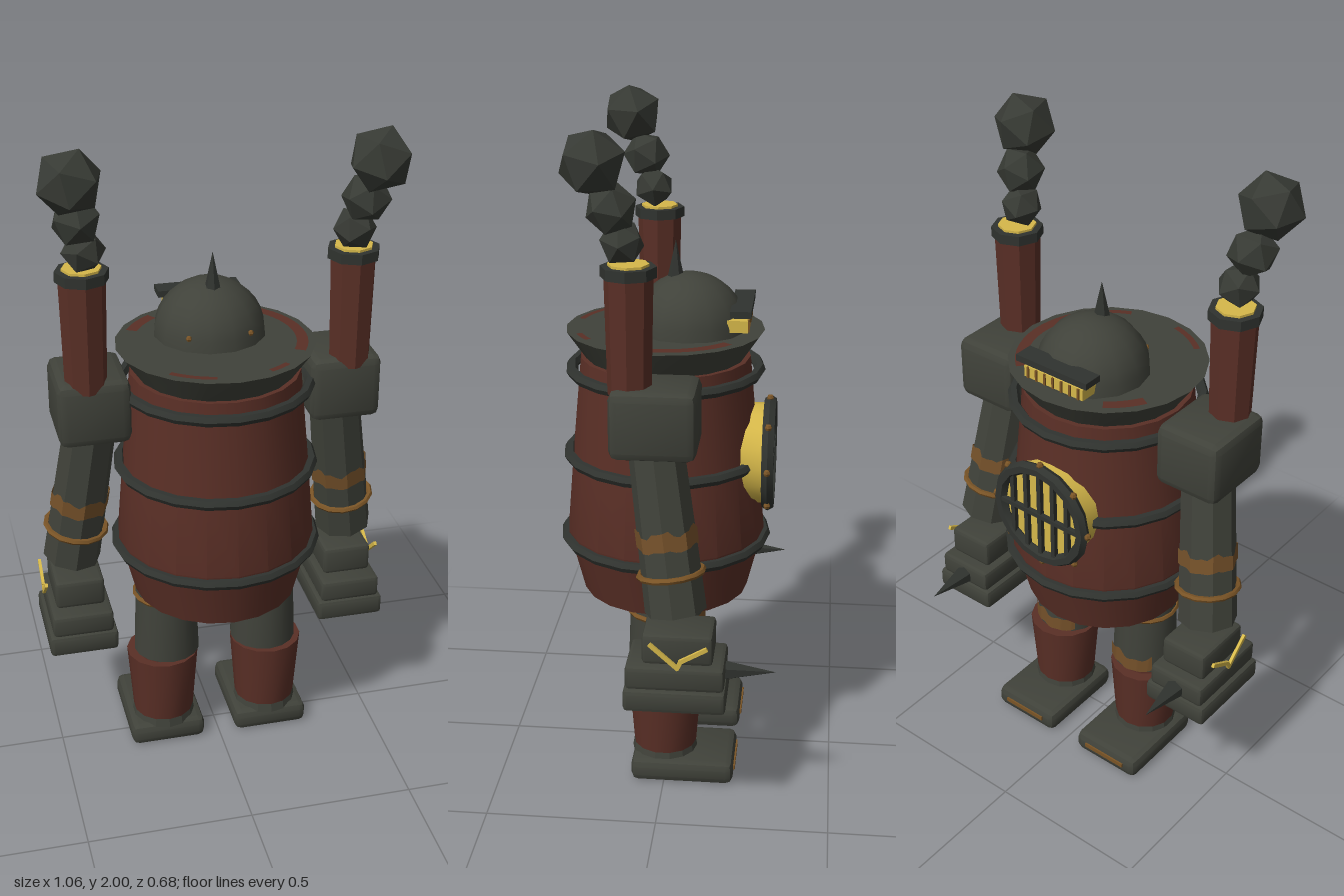
import * as THREE from 'three';
import { toCreasedNormals } from 'three/addons/utils/BufferGeometryUtils.js';
import { RoundedBoxGeometry } from 'three/addons/geometries/RoundedBoxGeometry.js';

const V = (x, y, z) => new THREE.Vector3(x, y, z);

function material(name, color, side = THREE.FrontSide) {
  const m = new THREE.MeshStandardMaterial({ color, side });
  m.name = name;
  return m;
}

export function createModel() {
  const iron = material('iron', 0x40423a);
  const darkIron = material('darkIron', 0x30332f);
  const red = material('rustRed', 0x5a2f26);
  const smoke = material('smoke', 0x373a34);
  const glow = material('glow', 0xd6b84a);
  const copper = material('copper', 0x7a5426);
  const patchCopper = material('patchCopper', 0x75512a, THREE.DoubleSide);

  const model = new THREE.Group();
  model.name = 'steamRobot';

  const add = (parent, name, geo, mat, x = 0, y = 0, z = 0, crease = 0.4) => {
    const mesh = new THREE.Mesh(toCreasedNormals(geo, crease), mat);
    mesh.name = name;
    mesh.position.set(x, y, z);
    parent.add(mesh);
    return mesh;
  };
  const cyl = (top, bottom, h, n = 20) => new THREE.CylinderGeometry(top, bottom, h, n);
  const box = (w, h, d) => new THREE.BoxGeometry(w, h, d);
  const bevelBox = (w, h, d, r) => new RoundedBoxGeometry(w, h, d, 1, r);
  const hoop = (r, tube, n = 20) => new THREE.TorusGeometry(r, tube, 6, n).rotateX(Math.PI / 2);

  // Ragged worn band hugging a prism with the given number of sides
  const wornBand = (r, h, sides, start, sweep) => {
    const g = new THREE.CylinderGeometry(1, 1, h, 32, 1, true, start, sweep);
    const p = g.attributes.position;
    const step = (Math.PI * 2) / sides;
    for (let i = 0; i < p.count; i++) {
      const a = Math.atan2(p.getX(i), p.getZ(i)) + Math.PI * 2;
      const rr = r * Math.cos(step / 2) / Math.cos((a % step) - step / 2);
      const jag = 0.18 * h * (Math.sin(a * 5) + 0.6 * Math.sin(a * 11 + 1));
      p.setXYZ(i, Math.sin(a) * rr, p.getY(i) + (p.getY(i) > 0 ? jag : jag * 0.4), Math.cos(a) * rr);
    }
    return g;
  };

  // Barrel torso with hoops
  const torso = new THREE.Group();
  torso.name = 'torso';
  torso.position.z = 0.02;
  model.add(torso);
  const profile = [[0, 0.55], [0.25, 0.55], [0.288, 0.7], [0.298, 0.74], [0.278, 0.98], [0.25, 1.28], [0, 1.28]];
  add(torso, 'barrel', new THREE.LatheGeometry(profile.map(p => new THREE.Vector2(...p)), 20), red);
  for (const [y, r] of [[0.72, 0.301], [0.98, 0.288], [1.24, 0.277]])
    add(torso, 'barrelHoop', hoop(r, 0.017), darkIron, 0, y, 0, 0.8);

  // Flared collar with worn patches on its top
  add(torso, 'collar', cyl(0.29, 0.235, 0.08), iron, 0, 1.32, 0);
  for (const [from, to, inner] of [[-30, 50, 0.235], [125, 152, 0.235], [228, 258, 0.25], [293, 308, 0.25]]) {
    const d = Math.PI / 180;
    const ring = new THREE.RingGeometry(inner, 0.268, 12, 1, from * d, (to - from) * d).rotateX(-Math.PI / 2);
    add(torso, 'collarWear', ring, red, 0, 1.363, 0);
  }

  // Domed head, spike, visor and glowing slit
  const head = new THREE.Group();
  head.name = 'head';
  head.position.set(0, 1.36, -0.05);
  model.add(head);
  add(head, 'dome', new THREE.SphereGeometry(0.165, 14, 8, 0, Math.PI * 2, 0, Math.PI / 2), iron, 0, 0, 0, 0.6);
  add(head, 'spike', new THREE.ConeGeometry(0.026, 0.12, 6), darkIron, 0, 0.2, 0.04);
  add(head, 'visor', box(0.25, 0.02, 0.06), darkIron, 0, 0.075, -0.155);
  add(head, 'eyeSlit', box(0.21, 0.035, 0.06), glow, 0, 0.035, -0.145);
  for (let i = -3; i <= 3; i++)
    add(head, 'slitBar', box(0.007, 0.035, 0.006), copper, i * 0.03, 0.035, -0.176);
  for (const s of [-1, 1])
    add(head, 'domeRivet', new THREE.SphereGeometry(0.009, 6, 4), copper, s * 0.09, 0.04, 0.13);

  // Furnace door: glowing disc behind a riveted grate
  const door = new THREE.Group();
  door.name = 'furnaceDoor';
  door.position.set(0, 0.98, -0.29);
  model.add(door);
  add(door, 'fire', cyl(0.15, 0.15, 0.08, 16).rotateX(Math.PI / 2), glow, 0, 0, 0.045);
  add(door, 'doorRim', new THREE.TorusGeometry(0.153, 0.02, 6, 16), darkIron);
  for (let i = -2; i <= 2; i++) {
    const x = i * 0.05;
    add(door, 'grateBar', box(0.014, 2 * Math.sqrt(0.0225 - x * x), 0.014), darkIron, x, 0, -0.004);
  }
  add(door, 'grateCrossbar', box(0.3, 0.014, 0.014), darkIron, 0, 0, -0.008);
  for (let i = 0; i < 8; i++) {
    const a = (i * Math.PI) / 4;
    add(door, 'doorRivet', new THREE.SphereGeometry(0.011, 6, 4), copper, Math.cos(a) * 0.172, Math.sin(a) * 0.172, 0);
  }

  for (const s of [-1, 1]) {
    const side = s > 0 ? 'left' : 'right';

    // Shoulder and chimney
    add(model, side + 'Shoulder', bevelBox(0.21, 0.195, 0.24, 0.025), iron, s * 0.37, 1.21, 0.01);
    const stack = new THREE.Group();
    stack.name = side + 'Chimney';
    stack.position.set(s * 0.387, 0, 0.078);
    model.add(stack);
    add(stack, 'pipe', cyl(0.067, 0.06, 0.34, 8), red, 0, 1.45, 0);
    add(stack, 'pipeRim', cyl(0.076, 0.076, 0.03, 8), darkIron, 0, 1.62, 0);
    add(stack, 'ember', cyl(0.056, 0.056, 0.008, 8), glow, 0, 1.638, 0);

    // Smoke puffs drifting up, out and back
    const puffs = [[0.382, 1.695, 0.095, 0.063], [0.403, 1.79, 0.12, 0.072], [0.423, 1.911, 0.165, 0.094]];
    puffs.forEach(([x, y, z, r], i) => {
      const puff = add(model, side + 'SmokePuff', new THREE.IcosahedronGeometry(r, 0), smoke, s * x, y, z);
      puff.rotation.set(0.4 + i * 0.8, s * (0.5 + i), 0.2 * i);
    });

    // Arm: tapered octagon with a copper ring and worn band
    const top = V(s * 0.37, 1.13, 0.01);
    const wrist = V(s * 0.433, 0.665, -0.052);
    const arm = new THREE.Group();
    arm.name = side + 'Arm';
    arm.position.copy(top);
    arm.quaternion.setFromUnitVectors(V(0, 1, 0), top.clone().sub(wrist).normalize());
    model.add(arm);
    add(arm, 'sleeve', cyl(0.078, 0.088, 0.478, 8), iron, 0, -0.239, 0);
    add(arm, 'wristRing', hoop(0.091, 0.009, 14), copper, 0, -0.366, 0, 0.8);
    add(arm, 'armWear', wornBand(0.088, 0.05, 8, 0, Math.PI * 2), patchCopper, 0, -0.262, 0);

    // Stepped fist with forward spike and bolt emblem
    const fist = new THREE.Group();
    fist.name = side + 'Fist';
    fist.position.set(s * 0.425, 0, -0.055);
    model.add(fist);
    add(fist, 'fistTop', bevelBox(0.15, 0.09, 0.2, 0.012), iron, 0, 0.565, -0.007);
    add(fist, 'fistMiddle', bevelBox(0.186, 0.07, 0.28, 0.012), iron, 0, 0.482, 0);
    add(fist, 'fistBase', bevelBox(0.21, 0.066, 0.29, 0.012), iron, 0, 0.416, 0);
    add(fist, 'fistSpike', new THREE.ConeGeometry(0.031, 0.15, 6).rotateX(-Math.PI / 2), darkIron, 0, 0.475, -0.208);
    const bolt = [[0.595, 0.01], [0.527, -0.065], [0.548, -0.075], [0.588, -0.145]];
    for (let i = 0; i < 3; i++) {
      const a = V(0, bolt[i][0], bolt[i][1]);
      const b = V(0, bolt[i + 1][0], bolt[i + 1][1]);
      const strip = add(fist, 'boltStrip', box(0.009, a.distanceTo(b) + 0.008, 0.012), glow);
      strip.position.addVectors(a, b).multiplyScalar(0.5).add(V(s * 0.1, 0, 0.055));
      strip.rotation.x = Math.atan2(b.z - a.z, b.y - a.y);
    }

    // Leg: thigh, knee, boot and foot
    const leg = new THREE.Group();
    leg.name = side + 'Leg';
    leg.position.set(s * 0.165, 0, 0.005);
    model.add(leg);
    add(leg, 'thigh', cyl(0.093, 0.103, 0.27, 16), iron, -s * 0.009, 0.46, 0.01);
    add(leg, 'thighRing', hoop(0.095, 0.009, 16), copper, -s * 0.009, 0.53, 0.01, 0.8);
    add(leg, 'kneeWear', wornBand(0.107, 0.05, 16, Math.PI * 0.72, Math.PI * 0.55), patchCopper, -s * 0.009, 0.355, 0.01);
    add(leg, 'knee', cyl(0.085, 0.085, 0.05, 14), red, 0, 0.315, 0.005);
    add(leg, 'boot', cyl(0.112, 0.094, 0.235, 14), red, s * 0.003, 0.192, 0, 0.5);
    add(leg, 'ankle', cyl(0.095, 0.1, 0.03, 14), iron, s * 0.003, 0.078, 0);
    add(leg, 'foot', bevelBox(0.236, 0.07, 0.31, 0.022), iron, s * 0.003, 0.037, -0.06);
    add(leg, 'toeWear', box(0.15, 0.014, 0.008), copper, s * 0.003, 0.042, -0.216);
  }
  return model;
}
